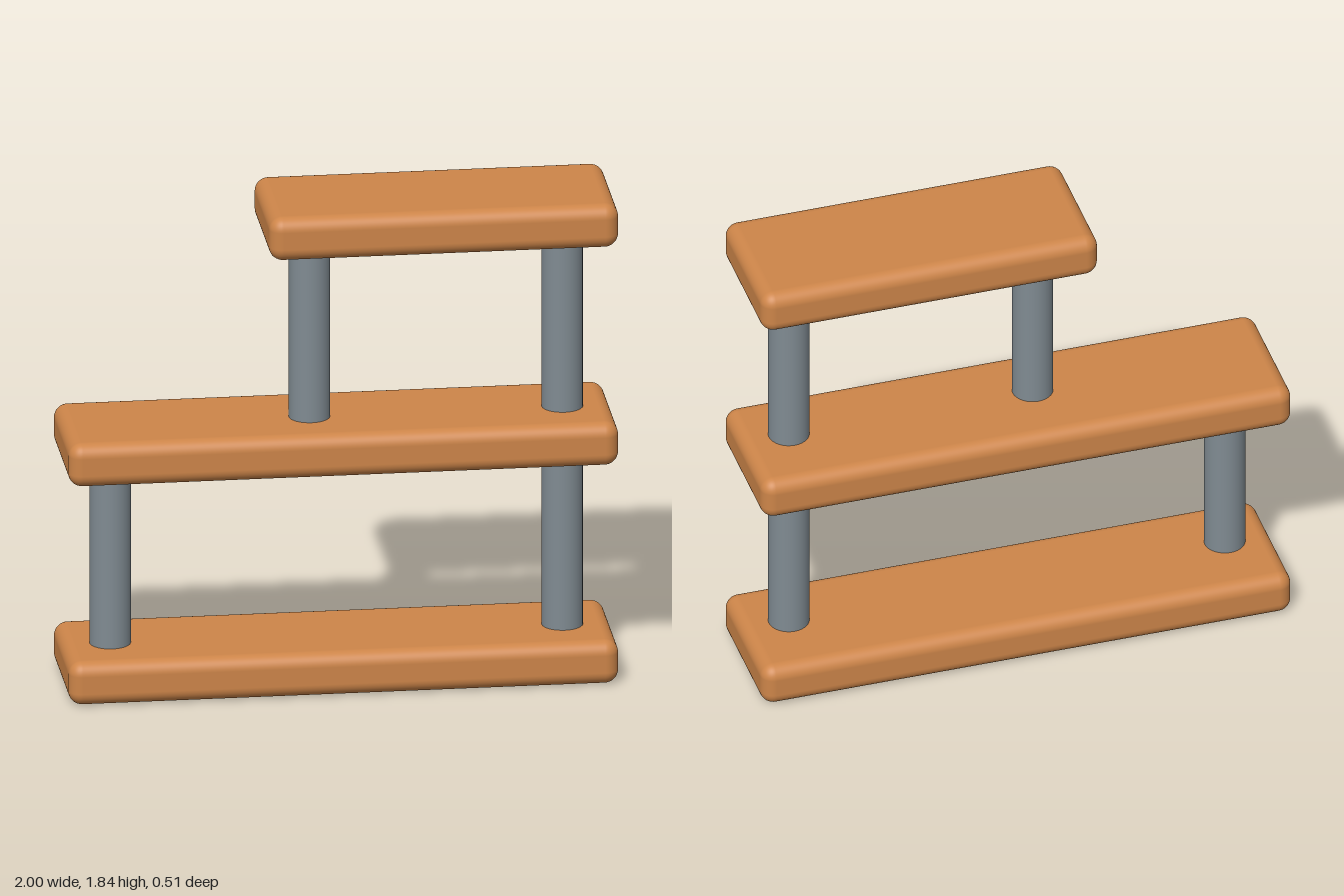
import * as THREE from 'three';
import { RoundedBoxGeometry } from 'three/addons/geometries/RoundedBoxGeometry.js';

export function createModel() {
  const group = new THREE.Group();
  group.name = 'shelfUnit';

  const wood = new THREE.MeshStandardMaterial({ color: 0xcd8549 });
  wood.name = 'wood';
  const steel = new THREE.MeshStandardMaterial({ color: 0x808b92 });
  steel.name = 'steel';

  const thickness = 0.165, depth = 0.515, pitch = 0.835;

  // Rounded boards: [name, level, left end x, right end x]
  const boards = [
    ['bottomShelf', 0, -1, 1],
    ['middleShelf', 1, -1, 1],
    ['topShelf', 2, -0.27, 1],
  ];
  for (const [name, level, x0, x1] of boards) {
    const geometry = new RoundedBoxGeometry(x1 - x0, thickness, depth, 5, 0.05);
    const board = new THREE.Mesh(geometry, wood);
    board.name = name;
    board.position.set((x0 + x1) / 2, level * pitch + thickness / 2, 0);
    group.add(board);
  }

  // Round posts between boards, set slightly forward: [name, level, x]
  const posts = [
    ['lowerOuterPost', 0, -0.825],
    ['lowerInnerPost', 0, 0.82],
    ['upperOuterPost', 1, -0.1],
    ['upperInnerPost', 1, 0.82],
  ];
  const gap = pitch - thickness;
  const postGeometry = new THREE.CylinderGeometry(0.075, 0.075, gap + 0.02, 32);
  for (const [name, level, x] of posts) {
    const post = new THREE.Mesh(postGeometry, steel);
    post.name = name;
    post.position.set(x, level * pitch + thickness + gap / 2, 0.025);
    group.add(post);
  }

  return group;
}
